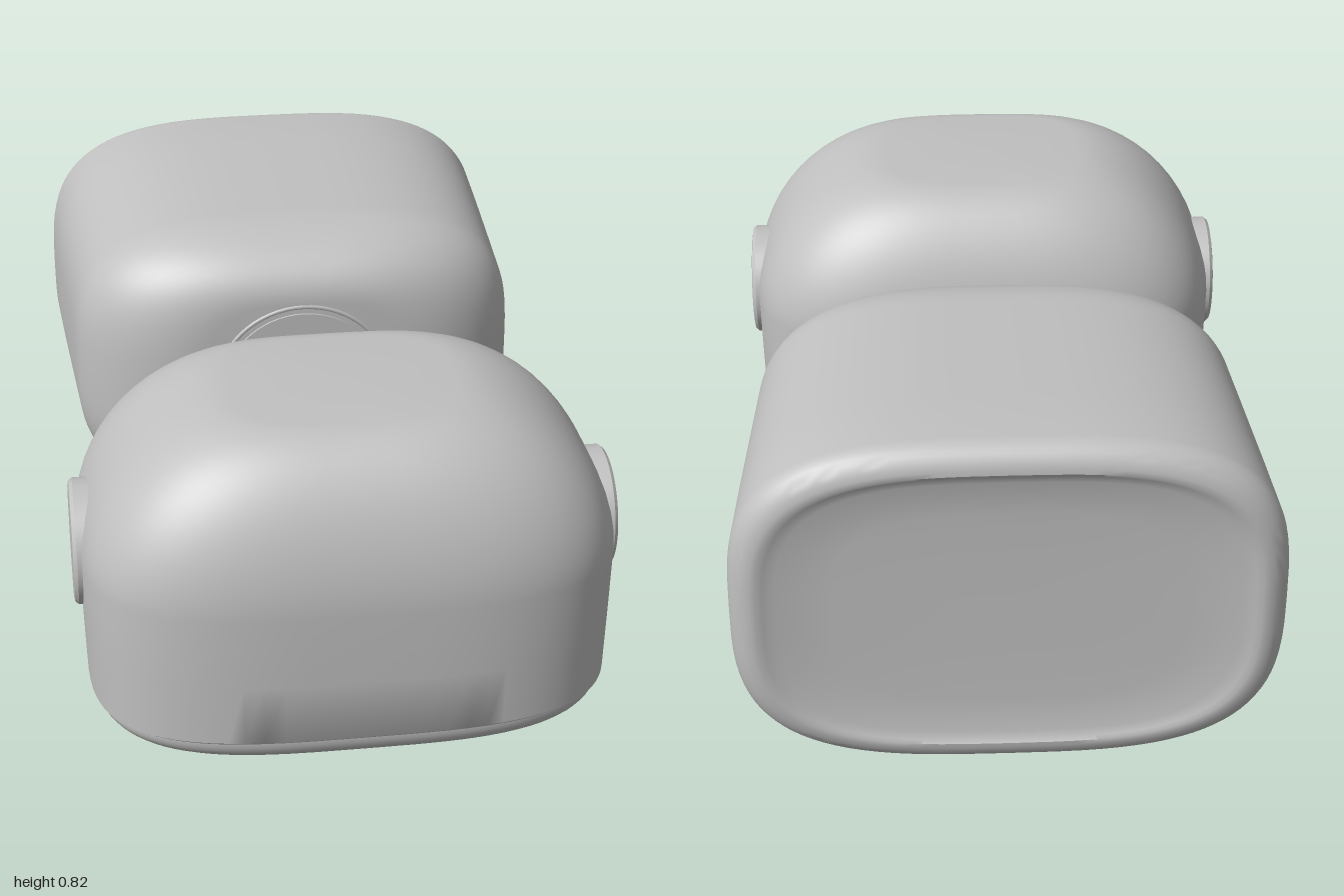
import * as THREE from 'three';
import { toCreasedNormals } from 'three/addons/utils/BufferGeometryUtils.js';

const grey = new THREE.MeshStandardMaterial({ color: 0xc0c0c0 });
grey.name = 'grey plastic';

// Closed loft of superellipse rings [halfX, halfY, z], ordered by rising z.
function loft(rings, n, creased = 0.7) {
  const seg = 96, pos = [], idx = [], last = rings.length - 1;
  for (const [a, b, h] of rings) {
    for (let j = 0; j < seg; j++) {
      const t = (j / seg) * Math.PI * 2, c = Math.cos(t), s = Math.sin(t);
      pos.push(a * Math.sign(c) * Math.abs(c) ** (2 / n), b * Math.sign(s) * Math.abs(s) ** (2 / n), h);
    }
  }
  pos.push(0, 0, rings[0][2], 0, 0, rings[last][2]);
  const c0 = rings.length * seg, c1 = c0 + 1;
  for (let j = 0; j < seg; j++) {
    const k = (j + 1) % seg;
    for (let i = 0; i < last; i++) {
      const p = i * seg, q = p + seg;
      idx.push(p + j, p + k, q + k, p + j, q + k, q + j);
    }
    idx.push(c0, k, j, c1, last * seg + j, last * seg + k);
  }
  const g = new THREE.BufferGeometry();
  g.setAttribute('position', new THREE.Float32BufferAttribute(pos, 3));
  g.setIndex(idx);
  return toCreasedNormals(g, creased);
}

// Runs f over evenly spaced angles from 0 to a quarter turn.
const quarter = (steps, f) =>
  Array.from({ length: steps + 1 }, (_, i) => f((i / steps) * Math.PI / 2));

function add(parent, name, geometry, x = 0, y = 0, z = 0) {
  const m = new THREE.Mesh(geometry, grey);
  m.name = name;
  m.position.set(x, y, z);
  parent.add(m);
  return m;
}

// Hinge lug outline: straight at one end, round about the pivot; extruded along x.
function lug(length, r, width, dir) {
  const s = new THREE.Shape();
  s.moveTo(-length, -r);
  s.lineTo(0, -r);
  s.absarc(0, 0, r, -Math.PI / 2, Math.PI / 2, false);
  s.lineTo(-length, r);
  s.closePath();
  const g = new THREE.ExtrudeGeometry(s, { depth: width, bevelEnabled: false, curveSegments: 20 });
  g.translate(0, 0, -width / 2);
  g.rotateY(dir * Math.PI / 2);
  return g;
}

export function createModel() {
  const model = new THREE.Group();
  model.name = 'hingedPods';

  // Front pod: upright walls and a broad domed top
  const front = new THREE.Group();
  front.name = 'frontPod';
  front.position.z = 0.575;
  model.add(front);
  const p = 2 / 1.8;
  const shell = [
    [0.585, 0.42, 0.103], [0.592, 0.424, 0.108], [0.596, 0.425, 0.25],
    ...quarter(16, (t) => {
      const u = Math.cos(t) ** p;
      return [0.25 + 0.35 * u, 0.21 + 0.215 * u, 0.42 + 0.35 * Math.sin(t) ** p];
    }),
  ];
  add(front, 'frontShell', loft(shell, 3.4).rotateX(-Math.PI / 2));

  // Rounded base below the seam
  const base = [
    ...quarter(8, (t) => [0.51 + 0.072 * Math.sin(t), 0.375 + 0.043 * Math.sin(t), 0.1 - 0.05 * Math.cos(t)]),
    [0.582, 0.418, 0.104],
  ];
  add(front, 'frontBase', loft(base, 3.4).rotateX(-Math.PI / 2));

  // Two thin pads underneath
  for (const side of [-1, 1]) {
    const pad = add(front, 'footPad', lug(0.07, 0.05, 0.008, 1), side * 0.12, 0.049, -0.03);
    pad.rotation.z = Math.PI / 2;
  }

  // Round side caps with a shallow ring groove
  const capProfile = [
    [0, 0.612], [0.088, 0.612], [0.09, 0.606], [0.096, 0.606], [0.098, 0.612],
    [0.125, 0.615], [0.136, 0.613], [0.143, 0.605], [0.143, 0.56],
  ].map(([r, h]) => new THREE.Vector2(r, h)).reverse();
  for (const side of [-1, 1]) {
    const g = toCreasedNormals(new THREE.LatheGeometry(capProfile, 64), 0.6);
    const cap = add(front, side > 0 ? 'leftCap' : 'rightCap', g, 0, 0.4, 0);
    cap.rotation.z = -side * Math.PI / 2;
  }

  // Rear pod: dished back, rounded rim, gentle taper, soft front
  const rear = new THREE.Group();
  rear.name = 'rearPod';
  rear.position.y = 0.41;
  model.add(rear);
  const r = 0.06;
  const rearRings = [
    [0.2, 0.13, -0.982], [0.38, 0.24, -0.984], [0.5, 0.325, -0.988], [0.525, 0.343, -0.995],
    ...quarter(8, (t) => [
      0.6 - r * (1 - Math.sin(t)), 0.41 - r * (1 - Math.sin(t)), -1 + r - r * Math.cos(t),
    ]),
    [0.59, 0.404, -0.75], [0.577, 0.397, -0.53],
    ...quarter(16, (t) => [
      0.25 + 0.315 * Math.cos(t), 0.23 + 0.16 * Math.cos(t), -0.33 + 0.24 * Math.sin(t),
    ]),
  ];
  // Rings before the rim rise toward the viewer side, so the dish stays open to the back
  add(rear, 'rearShell', loft(rearRings, 3.2));

  // Round mounting plate on the rear pod's front
  const plate = new THREE.CylinderGeometry(0.205, 0.205, 0.012, 64).rotateX(Math.PI / 2);
  add(rear, 'mountPlate', toCreasedNormals(plate, 0.6), 0, 0, -0.09);
  add(rear, 'mountRing', new THREE.TorusGeometry(0.222, 0.006, 8, 64), 0, 0, -0.092);

  // Hinge between the pods
  const hinge = new THREE.Group();
  hinge.name = 'hinge';
  hinge.position.set(0, 0.41, 0.055);
  model.add(hinge);
  add(hinge, 'hingeBlock', new THREE.BoxGeometry(0.37, 0.175, 0.06), 0, 0, -0.127);
  add(hinge, 'hingeTongue', lug(0.15, 0.083, 0.19, -1), -0.035, 0, 0);
  for (const side of [-1, 1]) {
    add(hinge, 'hingeArm', lug(0.14, 0.087, 0.05, 1), side * 0.157, 0, 0);
    const boss = new THREE.CylinderGeometry(0.03, 0.03, 0.008, 32).rotateZ(Math.PI / 2);
    add(hinge, 'pinHead', boss, side * 0.183, 0, 0);
  }
  const pin = new THREE.CylinderGeometry(0.03, 0.03, 0.3, 32).rotateZ(Math.PI / 2);
  add(hinge, 'hingePin', pin);

  return model;
}
